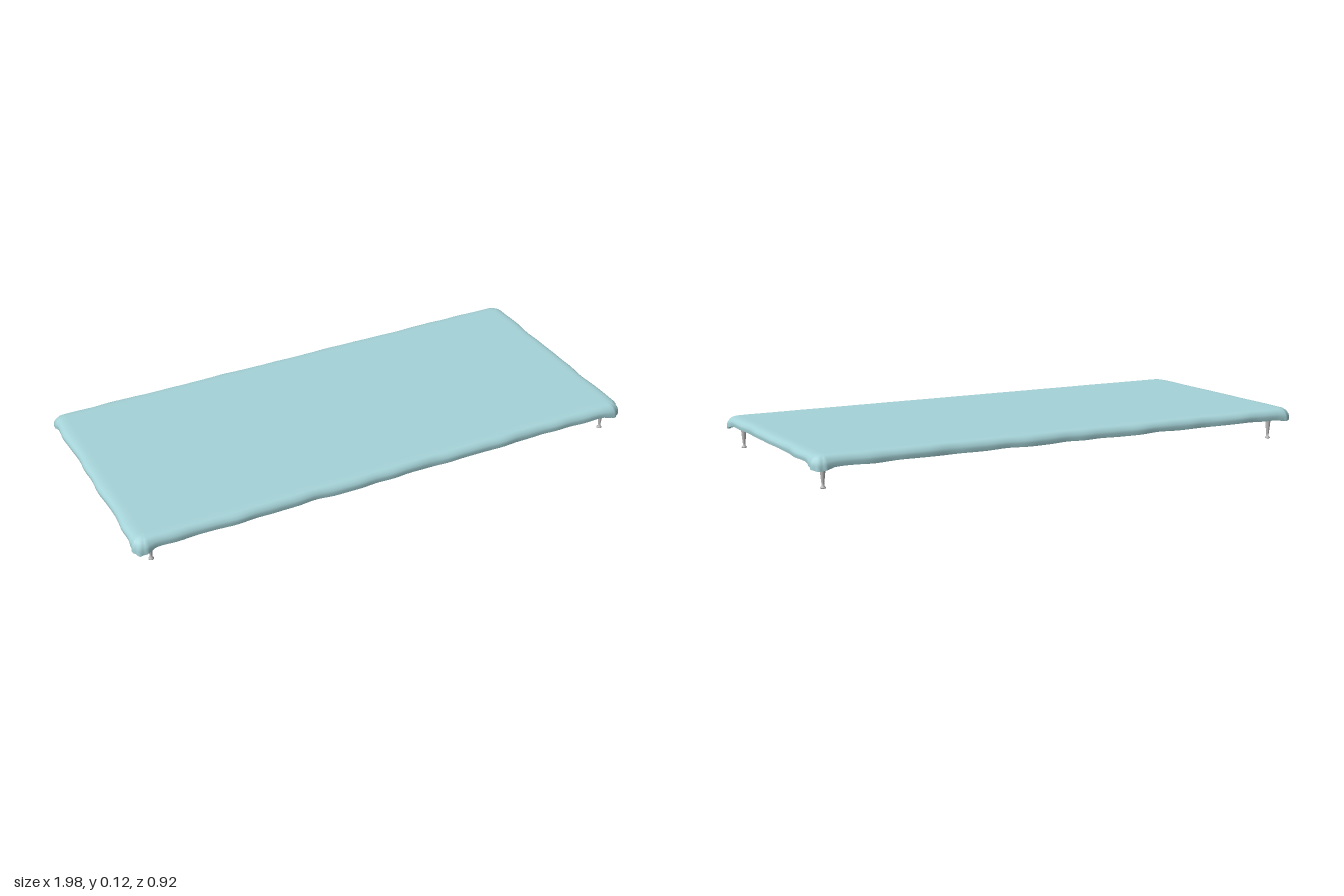
import * as THREE from 'three';

const HX = 0.977, HZ = 0.446, R = 0.04; // cloth outline at the rim

// Points around a rounded rectangle: arc centre, outward normal and corner weight
function outline() {
  const pts = [], corners = [[1, 1], [-1, 1], [-1, -1], [1, -1]];
  const droop = [0.018, 0.026, 0.014, 0.018];
  const add = (cx, cz, a) => {
    const x = cx + R * Math.cos(a), z = cz + R * Math.sin(a);
    let corner = 0, drop = 0;
    corners.forEach(([sx, sz], k) => {
      const d = Math.hypot(x - sx * (HX - 0.012), z - sz * (HZ - 0.012));
      const w = Math.exp(-((d / 0.035) ** 2));
      corner += w;
      drop += w * droop[k];
    });
    pts.push({ cx, cz, a, x, z, corner, drop });
  };
  corners.forEach(([sx, sz], k) => {
    const a0 = k * Math.PI / 2, a1 = a0 + Math.PI / 2;
    const cx = sx * (HX - R), cz = sz * (HZ - R);
    for (let i = 0; i <= 10; i++) add(cx, cz, a0 + (a1 - a0) * i / 10);
    const [nx, nz] = corners[(k + 1) % 4];
    const ex = nx * (HX - R), ez = nz * (HZ - R), n = k % 2 ? 36 : 76;
    for (let i = 1; i < n; i++) add(cx + (ex - cx) * i / n, cz + (ez - cz) * i / n, a1);
  });
  return pts;
}

// Uneven ripple along the hem
const ripple = (x, z) => 0.45 * Math.sin(x * 13 + z * 19 + 1)
  + 0.35 * Math.sin(x * 29 - z * 31 + 2) + 0.2 * Math.sin(x * 53 + z * 47);

// Draped sheet: flat top, rolled rim, rippled hem with drooping corners
function clothGeometry() {
  const pts = outline(), n = pts.length;
  // outward offset, height, ripple strength
  const rows = [
    [-0.04, 0.122, 0], [-0.024, 0.1215, 0], [-0.01, 0.119, 0.3], [0.0, 0.113, 0.7],
    [0.006, 0.103, 1], [0.008, 0.094, 1], [0.006, 0.081, 1],
  ];
  const pos = [0, 0.122, 0], index = [];
  rows.forEach(([off, y, s], j) => {
    const t = j / (rows.length - 1);
    for (const p of pts) {
      const w = ripple(p.x, p.z);
      const pleat = p.corner * t * (0.012 + 0.004 * Math.sin(p.a * 12));
      const r = R + off + s * 0.005 * w + pleat;
      const shortSide = Math.abs(Math.cos(p.a)) * 0.009 * t * t;
      const lift = shortSide + t * t * 0.002 * ripple(p.z + 2, p.x) - p.drop * t * t;
      pos.push(p.cx + r * Math.cos(p.a), y + lift, p.cz + r * Math.sin(p.a));
    }
  });
  for (let i = 0; i < n; i++) {
    const k = (i + 1) % n;
    index.push(0, 1 + k, 1 + i);
    for (let j = 0; j < rows.length - 1; j++) {
      const u = 1 + j * n, l = u + n;
      index.push(u + i, u + k, l + i, u + k, l + k, l + i);
    }
  }
  const g = new THREE.BufferGeometry();
  g.setAttribute('position', new THREE.Float32BufferAttribute(pos, 3));
  g.setIndex(index);
  g.computeVertexNormals();
  return g;
}

export function createModel() {
  const model = new THREE.Group();
  const mat = (name, color) => Object.assign(new THREE.MeshStandardMaterial({ color }), { name });
  const teal = mat('tealCloth', 0xa5d3d8);
  teal.side = THREE.DoubleSide;
  const grey = mat('lightGrey', 0xbfbfbf);
  const add = (name, geo, material, x = 0, y = 0, z = 0) => {
    const m = new THREE.Mesh(geo, material);
    m.name = name;
    m.position.set(x, y, z);
    model.add(m);
  };

  add('clothCover', clothGeometry(), teal);

  // Board under the cloth
  add('baseBoard', new THREE.BoxGeometry(1.92, 0.02, 0.856), grey, 0, 0.101, 0);

  // Tapered legs with a flared foot
  const profile = [[0, 0], [0.0095, 0], [0.0095, 0.003], [0.0045, 0.009], [0.005, 0.018],
    [0.0085, 0.05], [0.011, 0.08], [0.011, 0.094]].map(([x, y]) => new THREE.Vector2(x, y));
  const leg = new THREE.LatheGeometry(profile, 16);
  for (const x of [-0.917, 0.934])
    for (const z of [-0.394, 0.401])
      add(`${z > 0 ? 'front' : 'back'}${x > 0 ? 'Left' : 'Right'}Leg`, leg, grey, x, 0, z);

  return model;
}
